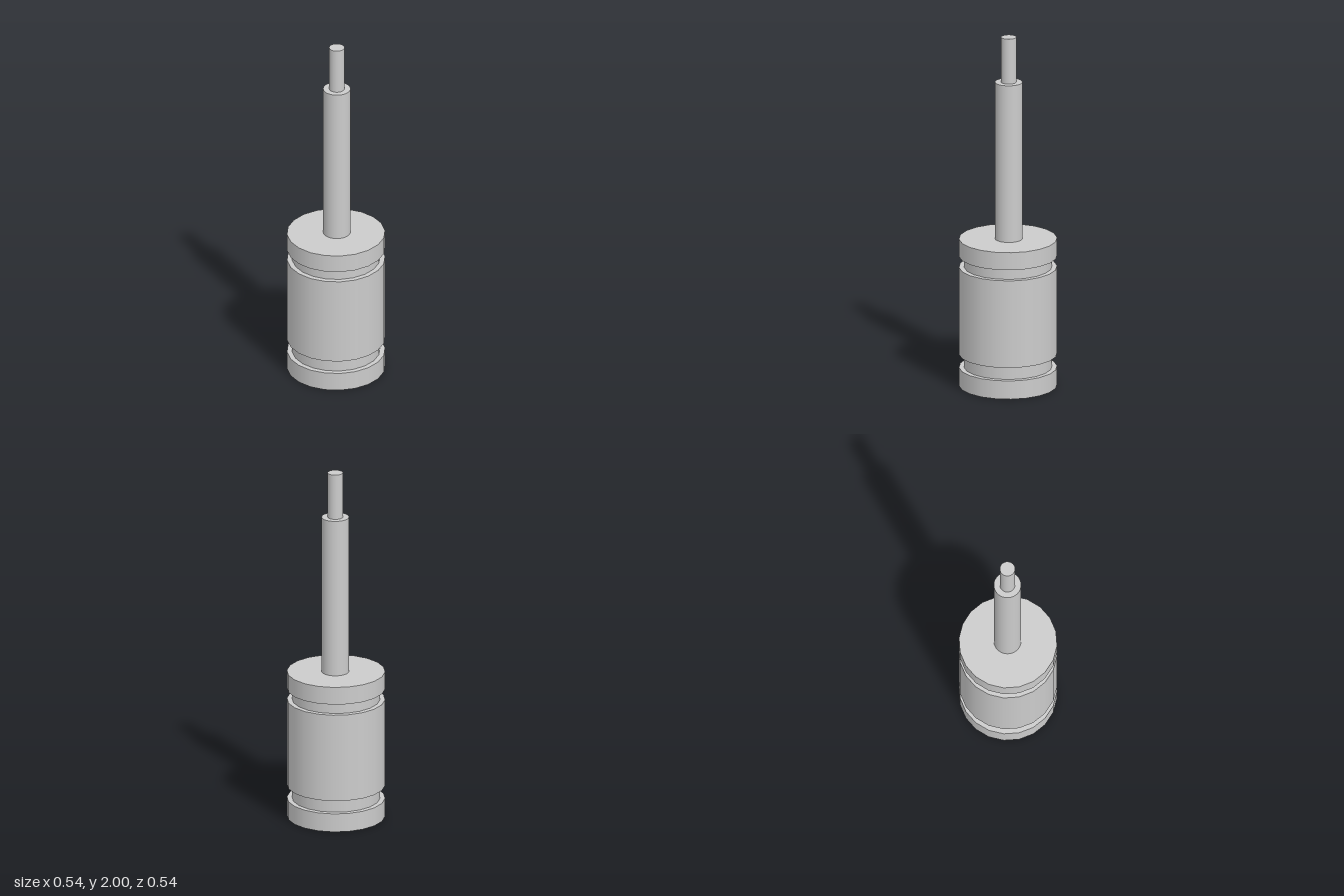
import * as THREE from 'three';

export function createModel() {
  const group = new THREE.Group();
  const material = new THREE.MeshStandardMaterial({ color: 0xcccccc });

  // Upright cylinder spanning y0 to y1
  function addCylinder(name, radius, y0, y1, sides, z = 0) {
    const geometry = new THREE.CylinderGeometry(radius, radius, y1 - y0, sides);
    const mesh = new THREE.Mesh(geometry, material);
    mesh.name = name;
    mesh.position.set(0, (y0 + y1) / 2, z);
    group.add(mesh);
  }

  // Housing: three wide drums separated by two narrower grooves
  addCylinder('baseRing', 0.27, 0, 0.105, 20);
  addCylinder('lowerGroove', 0.242, 0.105, 0.18, 20);
  addCylinder('body', 0.27, 0.18, 0.68, 20);
  addCylinder('upperGroove', 0.242, 0.68, 0.742, 20);
  addCylinder('topRing', 0.27, 0.742, 0.842, 20);

  // Stepped rod, set very slightly behind the housing axis
  addCylinder('rod', 0.075, 0.842, 1.742, 48, -0.006);
  addCylinder('rodTip', 0.042, 1.742, 2, 48, -0.006);

  return group;
}
